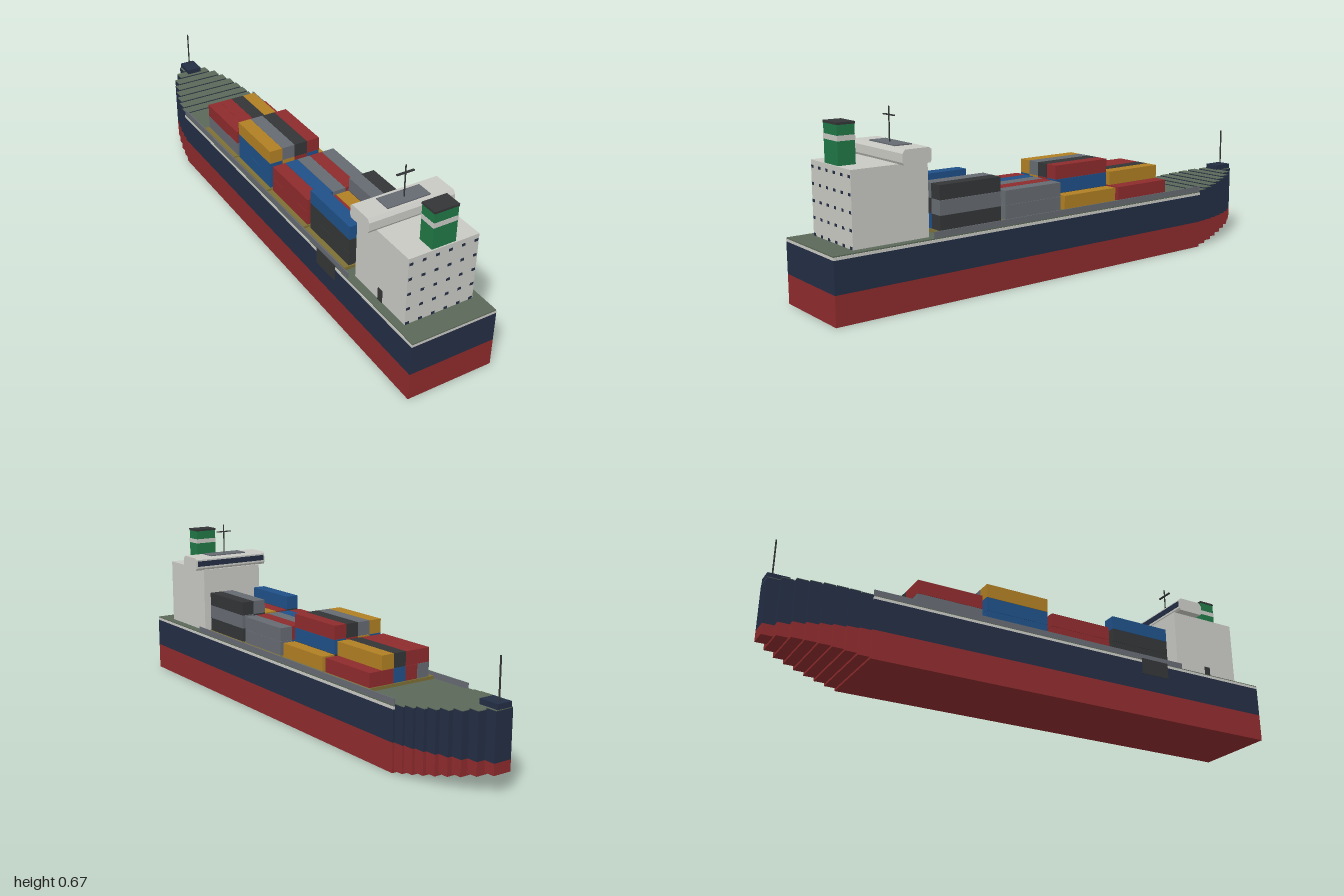
import * as THREE from 'three';

const mat = (name, color) => {
  const m = new THREE.MeshStandardMaterial({ color });
  m.name = name;
  return m;
};

export function createModel() {
  const red = mat('red', 0x8e2b2d), navy = mat('navy', 0x232e45), white = mat('white', 0xc9c9c4);
  const deckGreen = mat('deckGreen', 0x5b6858), green = mat('funnelGreen', 0x207846);
  const dark = mat('charcoal', 0x343536), grey = mat('grey', 0x666b72), blue = mat('blue', 0x1f5088);
  const gold = mat('gold', 0xb07f23), olive = mat('olive', 0x7d7035);

  const ship = new THREE.Group();
  ship.name = 'containerShip';
  const group = (name) => {
    const g = new THREE.Group();
    g.name = name;
    ship.add(g);
    return g;
  };
  // Box given by its limits on each axis
  const box = (parent, name, material, x0, x1, y0, y1, z0, z1) => {
    const mesh = new THREE.Mesh(new THREE.BoxGeometry(x1 - x0, y1 - y0, z1 - z0), material);
    mesh.position.set((x0 + x1) / 2, (y0 + y1) / 2, (z0 + z1) / 2);
    mesh.name = name;
    parent.add(mesh);
    return mesh;
  };
  // Box centred on x = 0
  const mid = (parent, name, material, w, y0, y1, z0, z1) =>
    box(parent, name, material, -w, w, y0, y1, z0, z1);

  // Main hull
  const W = 0.167, bowStart = -0.668, waterline = 0.105;
  const hull = group('hull');
  mid(hull, 'lowerHull', red, W, 0, waterline, bowStart, 1);
  mid(hull, 'upperHull', navy, W, waterline, 0.218, bowStart, 1);
  mid(hull, 'whiteStripe', white, W, 0.218, 0.228, bowStart, 1);
  mid(hull, 'mainDeck', deckGreen, W - 0.002, 0.228, 0.232, bowStart, 1);
  box(hull, 'sidePlate', dark, -W - 0.002, -W + 0.002, 0.172, 0.235, 0.43, 0.55);
  for (const s of [-1, 1]) {
    const rail = box(hull, 'bulwark', grey, 0.160, 0.164, 0.23, 0.254, bowStart, 0.625);
    rail.position.x *= s;
  }

  // Stepped bow, narrowing and rising toward the tip
  const bow = group('bow');
  const widths = [0.16, 0.153, 0.143, 0.131, 0.115, 0.097, 0.069, 0.036];
  const step = (1 + bowStart) / widths.length;
  widths.forEach((w, i) => {
    const z1 = bowStart - i * step, z0 = z1 - step;
    const bottom = 0.008 + i * 0.0081, top = 0.237 + i * 0.0055;
    mid(bow, 'bowLower', red, w, bottom, waterline, z0, z1);
    mid(bow, 'bowUpper', navy, w, waterline, top - 0.002, z0, z1);
    mid(bow, 'bowDeck', deckGreen, w, top - 0.002, top, z0, z1);
  });
  mid(bow, 'bowCap', navy, 0.03, 0.276, 0.295, -1, -0.92);
  const bowMast = new THREE.Mesh(new THREE.CylinderGeometry(0.003, 0.003, 0.15, 8), dark);
  bowMast.name = 'bowMast';
  bowMast.position.set(0, 0.365, -0.975);
  bow.add(bowMast);

  // Cargo: four bays of five stacks, each listed from the bottom up, from -x to +x
  const bays = [
    { z: 0.4525, stacks: [[dark, dark, blue], [grey, red], [red, gold], [blue, dark, grey], [dark, grey, dark]] },
    { z: 0.1775, stacks: [[red, red], [gold, blue], [dark, grey], [blue, red], [grey, grey]] },
    { z: -0.0975, stacks: [[blue, blue, gold], [red, gold, grey], [grey, red, dark], [dark, blue, red], [gold]] },
    { z: -0.3700, stacks: [[grey, red], [red, red], [blue, dark], [red, gold], [red]] },
  ];
  const cargo = group('cargo');
  const pitch = 0.053, tier = 0.0533, base = 0.244, half = 0.1275;
  for (const { z, stacks } of bays) {
    mid(cargo, 'hatchCoaming', olive, 0.151, 0.23, base, z - half - 0.005, z + half + 0.005);
    stacks.forEach((stack, c) => stack.forEach((material, t) => {
      const x = (c - 2) * pitch, y = base + t * tier;
      box(cargo, 'container', material, x - 0.026, x + 0.026, y, y + tier - 0.0008, z - half, z + half);
    }));
  }

  // Accommodation block with small aft windows and a side door
  const house = group('accommodation');
  mid(house, 'houseBlock', white, 0.135, 0.23, 0.492, 0.627, 0.914);
  for (let r = 0; r < 5; r++) {
    for (let c = 0; c < 6; c++) {
      const x = -0.125 + c * 0.05, y = 0.237 + r * 0.0582;
      box(house, 'window', navy, x - 0.007, x + 0.007, y - 0.005, y + 0.005, 0.913, 0.9148);
    }
  }
  box(house, 'sideDoor', dark, -0.137, -0.134, 0.232, 0.28, 0.763, 0.788);

  // Bridge with slightly chamfered ends, extruded across the ship
  const bridge = group('bridge');
  const profile = new THREE.Shape([
    [0.637, 0.491], [0.737, 0.491], [0.742, 0.5], [0.742, 0.53], [0.732, 0.543],
    [0.64, 0.543], [0.632, 0.536], [0.632, 0.5],
  ].map(([z, y]) => new THREE.Vector2(-z, y)).reverse());
  const bridgeGeo = new THREE.ExtrudeGeometry(profile, { depth: 2 * W, bevelEnabled: false });
  bridgeGeo.translate(0, 0, -W).rotateY(Math.PI / 2);
  const wheelhouse = new THREE.Mesh(bridgeGeo, white);
  wheelhouse.name = 'wheelhouse';
  bridge.add(wheelhouse);
  mid(bridge, 'bridgeWindows', navy, 0.16, 0.508, 0.53, 0.629, 0.634);
  mid(bridge, 'roofPanel', grey, 0.084, 0.542, 0.547, 0.655, 0.72);
  const mast = new THREE.Mesh(new THREE.CylinderGeometry(0.0025, 0.0025, 0.122, 8), dark);
  mast.name = 'radarMast';
  mast.position.set(0, 0.606, 0.69);
  bridge.add(mast);
  mid(bridge, 'radarBar', dark, 0.034, 0.636, 0.640, 0.686, 0.694);

  // Funnel
  const funnel = group('funnel');
  mid(funnel, 'funnelBody', green, 0.046, 0.49, 0.625, 0.845, 0.909);
  mid(funnel, 'funnelBand', white, 0.047, 0.572, 0.59, 0.844, 0.910);
  mid(funnel, 'funnelCap', dark, 0.0475, 0.625, 0.633, 0.8435, 0.9105);

  return ship;
}
